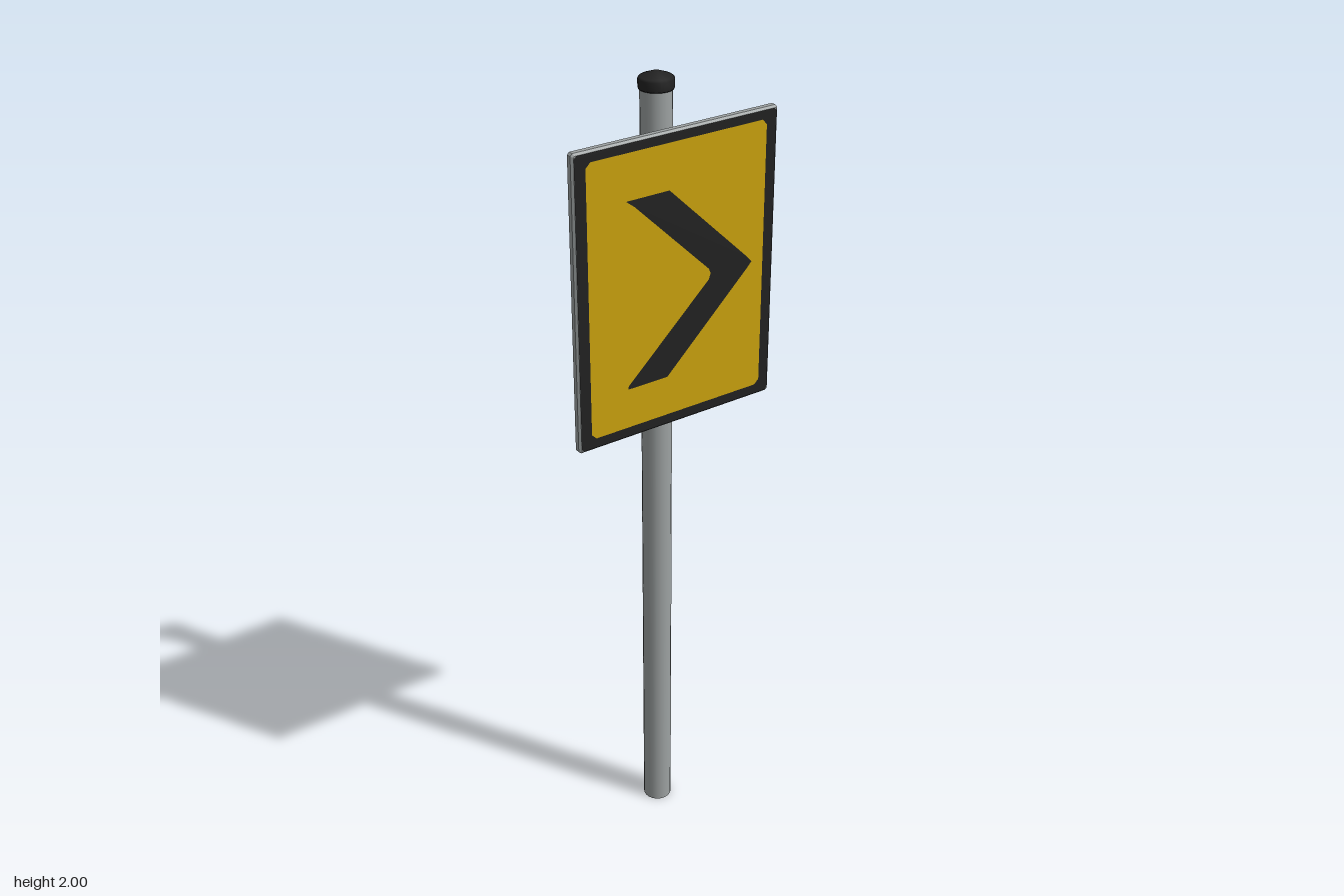
import * as THREE from 'three';

const mat = (name, color) => {
  const m = new THREE.MeshStandardMaterial({ color });
  m.name = name;
  return m;
};

// Rectangle outline with cut corners
function plate(w, h, c) {
  const x = w / 2, y = h / 2;
  return new THREE.Shape([
    [-x + c, -y], [x - c, -y], [x, -y + c], [x, y - c],
    [x - c, y], [-x + c, y], [-x, y - c], [-x, -y + c],
  ].map(([a, b]) => new THREE.Vector2(a, b)));
}

// Solid block with bevelled edges, centred on its middle
function bevelledBlock(w, h, d, b) {
  const g = new THREE.ExtrudeGeometry(plate(w - 2 * b, h - 2 * b, b * 0.5), {
    depth: d - 2 * b, bevelEnabled: true, bevelThickness: b, bevelSize: b, bevelSegments: 1,
  });
  return g.translate(0, 0, -d / 2 + b);
}

export function createModel() {
  const group = new THREE.Group();
  const steel = mat('galvanised steel', 0x9da2a2);
  const yellow = mat('sign yellow', 0xcaa20e);
  const black = mat('matte black', 0x222222);

  const add = (name, geometry, material, x, y, z) => {
    const mesh = new THREE.Mesh(geometry, material);
    mesh.name = name;
    mesh.position.set(x, y, z);
    group.add(mesh);
    return mesh;
  };

  const poleZ = -0.02, signY = 1.545, faceZ = 0.0625;

  // Pole and its end cap
  add('pole', new THREE.CylinderGeometry(0.036, 0.036, 1.97, 20), steel, 0, 0.985, poleZ);
  const capProfile = [[0, 1.964], [0.039, 1.964], [0.04, 1.967], [0.04, 1.986], [0.036, 1.99], [0.01, 2], [0, 2]]
    .map(([r, y]) => new THREE.Vector2(r, y));
  const cap = new THREE.LatheGeometry(capProfile, 20);
  add('poleCap', cap, black, 0, 0, poleZ);

  // Sign panel with border, field and chevron
  add('signPanel', bevelledBlock(0.534, 0.706, 0.022, 0.005), steel, 0, signY, 0.052);
  add('signBorder', new THREE.ShapeGeometry(plate(0.524, 0.696, 0.006)), black, 0, signY, faceZ + 0.001);
  add('signField', new THREE.ShapeGeometry(plate(0.47, 0.652, 0.012)), yellow, 0, signY + 0.002, faceZ + 0.002);

  const chevron = new THREE.Shape([
    [-0.137, 0.222], [-0.025, 0.222], [0.19, 0.014], [0.203, 0], [0.19, -0.014], [-0.03, -0.226],
    [-0.137, -0.226], [-0.135, -0.218], [0.083, -0.014], [0.088, 0], [0.083, 0.012], [-0.115, 0.205],
  ].map(([x, y]) => new THREE.Vector2(x, y)));
  add('chevron', new THREE.ShapeGeometry(chevron), black, 0, signY, faceZ + 0.003);

  // Mounting brackets and pole clamps
  for (const y of [1.757, 1.331]) {
    add('bracket', bevelledBlock(0.116, 0.046, 0.032, 0.004), steel, 0, y, 0.027);
    const ring = add('clampRing', new THREE.TorusGeometry(0.042, 0.007, 8, 14), steel, 0, y, poleZ);
    ring.rotation.x = Math.PI / 2;
  }

  return group;
}
